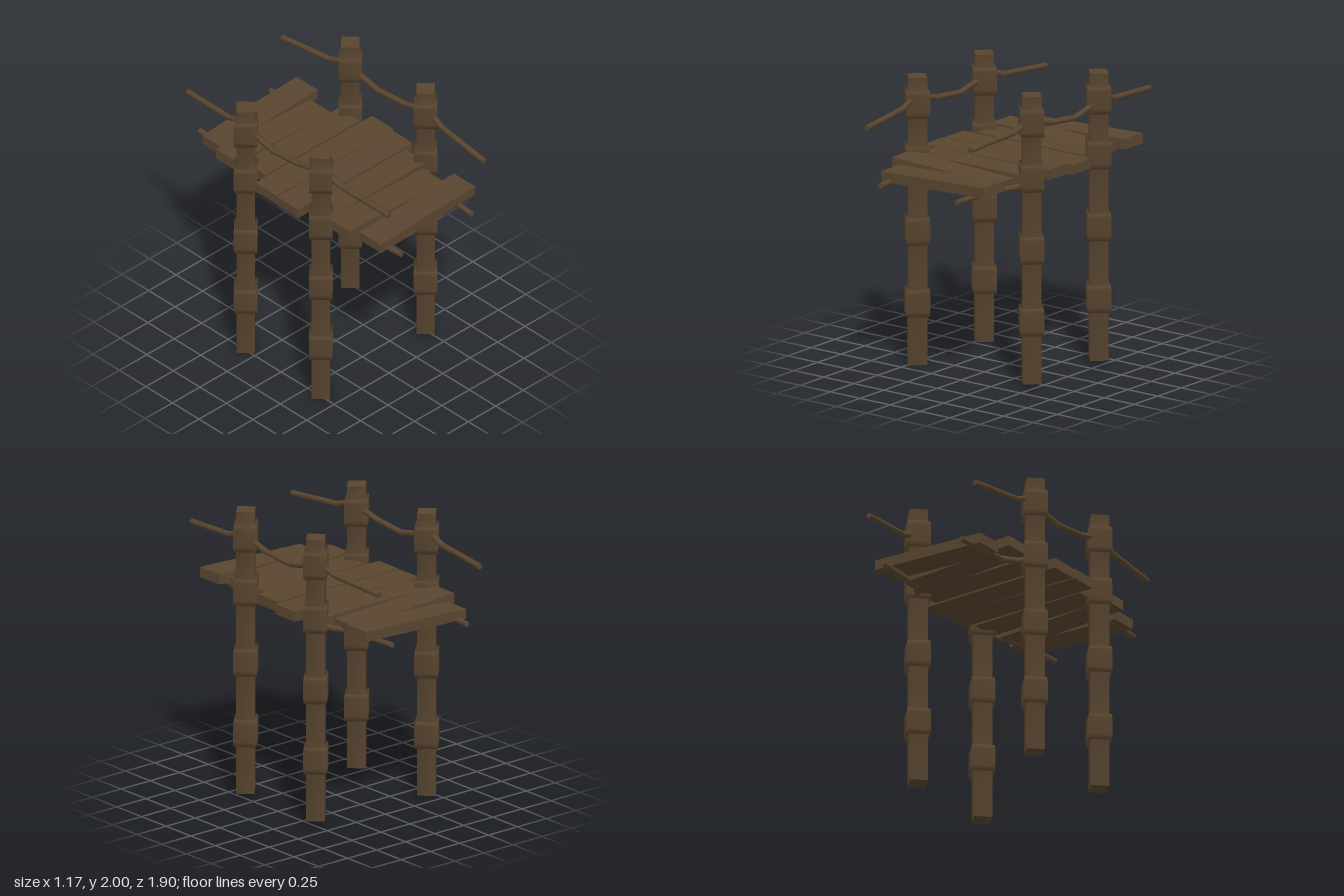
import * as THREE from 'three';
import { mergeGeometries } from 'three/addons/utils/BufferGeometryUtils.js';

const wood = new THREE.MeshStandardMaterial({ color: 0x5a4630 });
wood.name = 'darkWood';

// Square post turned on its corner, with four thicker bands
function makePost(x, y, z) {
  const r = 0.085, R = 0.11, h = 1.96;
  const profile = [[r, 0], [r, 0.04]];
  for (const b of [0.33, 0.82, 1.31, 1.685]) {
    profile.push([r, b], [0.107, b + 0.001], [R, b + 0.035], [R, b + 0.155], [0.105, b + 0.185], [r, b + 0.186]);
  }
  profile.push([r, h]);
  const side = new THREE.LatheGeometry(profile.map(p => new THREE.Vector2(...p)), 4);
  const top = new THREE.CircleGeometry(r, 4).rotateX(-Math.PI / 2).translate(0, h, 0);
  const bottom = new THREE.CircleGeometry(r, 4).rotateX(Math.PI / 2);
  const post = new THREE.Mesh(mergeGeometries([side, top, bottom]), wood);
  post.position.set(x, y, z);
  post.name = 'post';
  return post;
}

// Rope of straight capped lengths through the given points
function makeRope(points, radius, name) {
  const pts = points.map(p => new THREE.Vector3(...p));
  const up = new THREE.Vector3(0, 1, 0);
  const parts = [];
  for (let i = 0; i < pts.length - 1; i++) {
    const dir = pts[i + 1].clone().sub(pts[i]);
    const overlap = i < pts.length - 2 ? 0.006 : 0;
    const g = new THREE.CylinderGeometry(radius, radius, dir.length() + overlap, 6);
    g.translate(0, overlap / 2, 0);
    g.applyQuaternion(new THREE.Quaternion().setFromUnitVectors(up, dir.normalize()));
    const mid = pts[i].clone().add(pts[i + 1]).multiplyScalar(0.5);
    g.translate(mid.x, mid.y, mid.z);
    parts.push(g);
  }
  const rope = new THREE.Mesh(mergeGeometries(parts), wood);
  rope.name = name;
  return rope;
}

export function createModel() {
  const model = new THREE.Group();
  model.name = 'ropeBridge';

  // Four posts, the left pair standing slightly higher
  for (const z of [-0.355, 0.355]) {
    model.add(makePost(-0.48, 0, z), makePost(0.475, 0.04, z));
  }

  // Planks: z centre, left and right ends, centre heights at those ends
  const planks = [
    [-0.747, -0.40, 0.46, 1.395, 1.431],
    [-0.537, -0.48, 0.38, 1.431, 1.395],
    [-0.322, -0.43, 0.43, 1.418, 1.418],
    [-0.108, -0.535, 0.53, 1.415, 1.415],
    [0.103, -0.54, 0.505, 1.415, 1.424],
    [0.313, -0.43, 0.43, 1.418, 1.418],
    [0.524, -0.48, 0.38, 1.431, 1.395],
    [0.738, -0.40, 0.46, 1.395, 1.431],
  ];
  for (const [z, x0, x1, y0, y1] of planks) {
    const plank = new THREE.Mesh(new THREE.BoxGeometry(x1 - x0, 0.07, 0.197), wood);
    plank.position.set((x0 + x1) / 2, (y0 + y1) / 2, z);
    plank.rotation.z = Math.atan2(y1 - y0, x1 - x0);
    plank.name = 'plank';
    model.add(plank);
  }

  for (const s of [-1, 1]) {
    // Handrail rope sagging between the posts and running out at both ends
    model.add(makeRope([
      [s * 0.432, 1.745, 0.95], [s * 0.462, 1.775, 0.53], [s * 0.472, 1.815, 0.42],
      [s * 0.477, 1.82, 0.355], [s * 0.478, 1.79, 0.25], [s * 0.48, 1.765, 0.15],
      [s * 0.48, 1.742, -0.1], [s * 0.478, 1.775, -0.25], [s * 0.477, 1.82, -0.355],
      [s * 0.472, 1.815, -0.42], [s * 0.462, 1.775, -0.53], [s * 0.432, 1.745, -0.95],
    ], 0.021, 'handrailRope'));

    // Support ropes under the planks, tied back to the posts
    for (const e of [-1, 1]) {
      model.add(makeRope([
        [s * 0.32, 1.37, e * 0.95], [s * 0.348, 1.37, e * 0.54],
        [s * 0.41, 1.375, e * 0.44], [s * 0.47, 1.4, e * 0.355],
      ], 0.021, 'supportRope'));
    }
  }
  return model;
}
